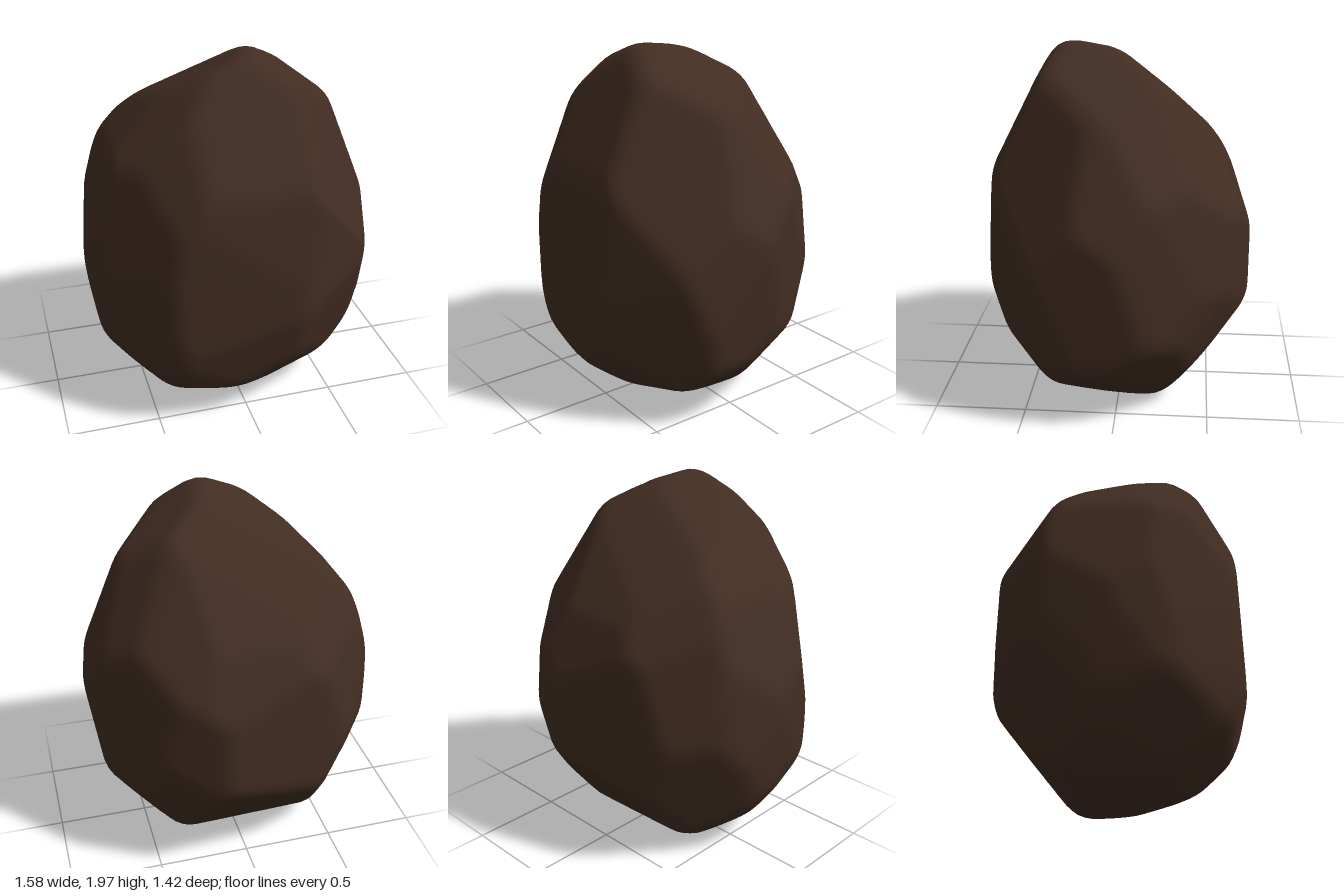
import * as THREE from 'three';
import { mergeVertices } from 'three/addons/utils/BufferGeometryUtils.js';

// Chisel one outline, clockwise x, y pairs about the boulder's centre, along a
// direction in degrees. Every edge becomes a facet plane: normal and distance.
function chisel(azimuth, elevation, outline) {
  const a = THREE.MathUtils.degToRad(azimuth);
  const e = THREE.MathUtils.degToRad(elevation);
  const toward = new THREE.Vector3(Math.sin(a) * Math.cos(e), Math.sin(e), Math.cos(a) * Math.cos(e));
  const right = new THREE.Vector3(Math.cos(a), 0, -Math.sin(a));
  const up = new THREE.Vector3().crossVectors(toward, right);
  const points = [];
  for (let i = 0; i < outline.length; i += 2) points.push(new THREE.Vector2(outline[i], outline[i + 1]));
  return points.map((p, i) => {
    const edge = points[(i + 1) % points.length].clone().sub(p).normalize();
    const n = new THREE.Vector2(-edge.y, edge.x);
    return {
      normal: right.clone().multiplyScalar(n.x).addScaledVector(up, n.y),
      distance: Math.max(...points.map((q) => q.dot(n))),
    };
  });
}

// Distance from the centre to the nearest facet in direction d
function facetRadius(planes, d) {
  let r = 2;
  for (const { normal, distance } of planes) {
    const c = normal.dot(d);
    if (c > 0.05) r = Math.min(r, distance / c);
  }
  return r;
}

// Unit sphere points without seams
function spherePoints(radius, detail) {
  const sphere = new THREE.IcosahedronGeometry(radius, detail);
  sphere.deleteAttribute('uv');
  sphere.deleteAttribute('normal');
  return mergeVertices(sphere, 1e-4);
}

function boulderGeometry() {
  const planes = chisel(0, 0, [0.09, 1.07, 0.54, 0.72, 0.8, 0.02, 0.7, -0.66, 0.32, -0.98,
    -0.42, -0.99, -0.61, -0.81, -0.73, -0.63, -0.81, -0.12, -0.64, 0.47, -0.3, 0.84]);
  planes.push(
    ...chisel(90, 0, [-0.3, 1.06, 0.15, 0.89, 0.56, 0.36, 0.71, 0.02, 0.72, -0.4,
      0.23, -1.01, -0.3, -1, -0.59, -0.82, -0.72, -0.28, -0.66, 0.35]),
    ...chisel(0, 90, [0.14, 0.72, 0.53, 0.55, 0.8, 0.02, 0.7, -0.43, 0.28, -0.71,
      -0.42, -0.66, -0.73, -0.34, -0.8, -0.05, -0.72, 0.34, -0.54, 0.57]),
    ...chisel(45, 25, [-0.34, 0.78, 0.22, 0.86, 0.31, 0.77, 0.7, 0.18, 0.74, -0.18, 0.67, -0.58,
      0.39, -0.91, 0.18, -0.98, -0.2, -0.98, -0.48, -0.89, -0.72, -0.66, -0.79, -0.28, -0.66, 0.49]),
    ...chisel(225, 25, [0.1, 1.07, 0.53, 0.72, 0.78, 0.1, 0.75, -0.57, 0.46, -0.93, 0.12, -1.03,
      -0.42, -0.85, -0.59, -0.64, -0.74, -0.27, -0.65, 0.36, -0.34, 0.82]),
    ...chisel(135, -25, [-0.48, 0.74, -0.1, 0.91, 0.56, 0.46, 0.7, 0.23, 0.78, -0.24, 0.54, -0.85,
      0.31, -0.99, 0.06, -1.05, -0.37, -0.92, -0.63, -0.67, -0.81, -0.03]),
  );

  // Averaging the radius over nearby directions rounds the facet edges.
  const geometry = spherePoints(1, 28);
  const position = geometry.getAttribute('position');
  const offsets = spherePoints(0.075, 0).getAttribute('position');
  const d = new THREE.Vector3();
  const near = new THREE.Vector3();
  for (let i = 0; i < position.count; i++) {
    d.fromBufferAttribute(position, i).normalize();
    let sum = 0;
    for (let j = 0; j < offsets.count; j++) {
      near.fromBufferAttribute(offsets, j).add(d).normalize();
      sum += facetRadius(planes, near);
    }
    d.multiplyScalar(sum / offsets.count);
    position.setXYZ(i, d.x, d.y, d.z);
  }

  // Centre it and rest it on the ground.
  geometry.center();
  geometry.computeBoundingBox();
  geometry.translate(0, -geometry.boundingBox.min.y, 0);
  geometry.computeVertexNormals();
  return geometry;
}

export function createModel() {
  const darkBrown = new THREE.MeshStandardMaterial({ color: 0x422d22 });
  darkBrown.name = 'dark brown stone';
  const boulder = new THREE.Mesh(boulderGeometry(), darkBrown);
  boulder.name = 'boulder';
  const group = new THREE.Group();
  group.name = 'rock';
  group.add(boulder);
  return group;
}
